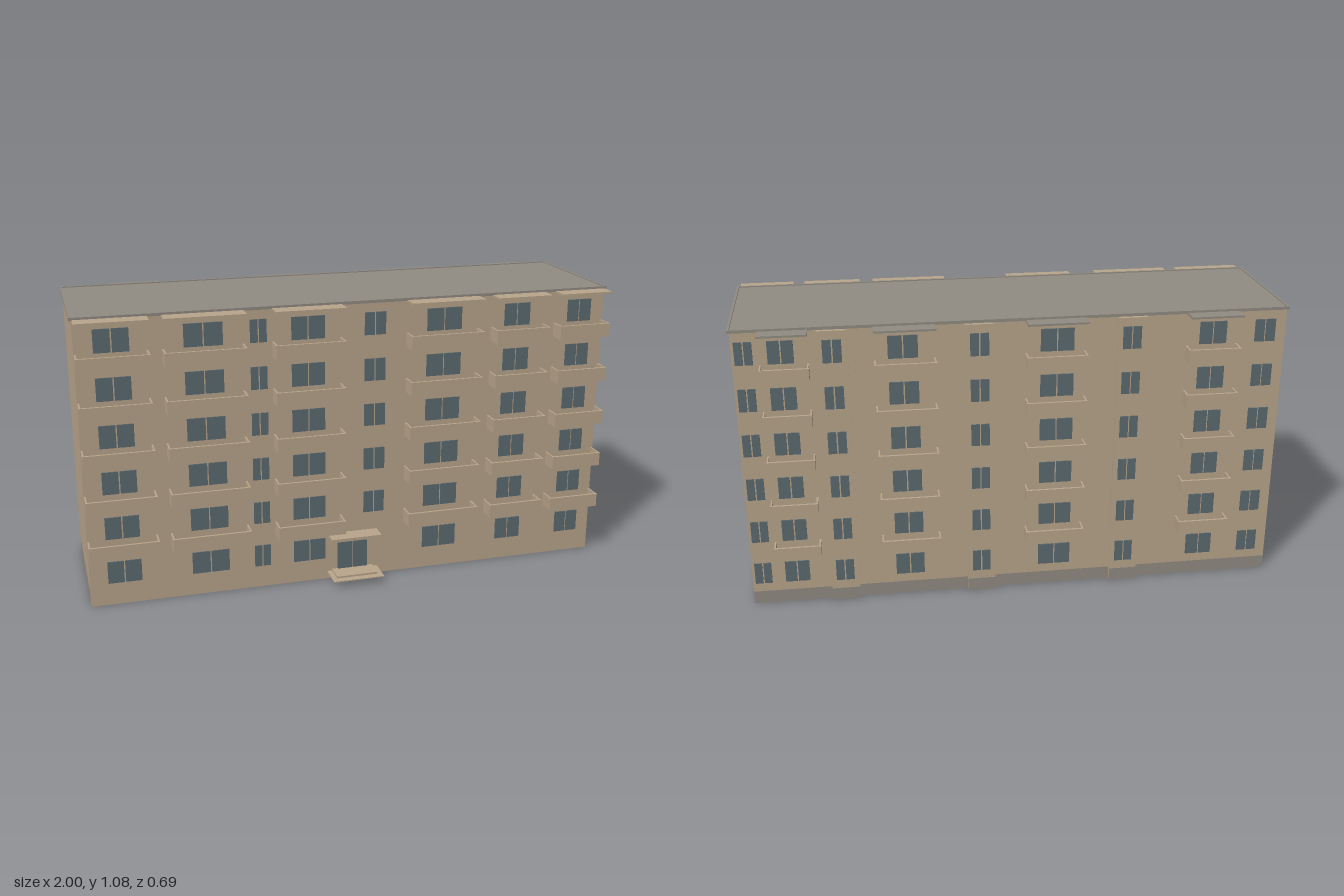
import * as THREE from 'three';

const mat = (name, color, side = THREE.FrontSide) => {
  const m = new THREE.MeshStandardMaterial({ color, side });
  m.name = name;
  return m;
};

export function createModel() {
  const plaster = mat('beige plaster', 0xbaa68c);
  const wallPlaster = plaster.clone();
  wallPlaster.side = THREE.DoubleSide;
  const grey = mat('grey concrete', 0x928d83, THREE.DoubleSide);
  const glass = mat('window glass', 0x5c6b70);

  const model = new THREE.Group();
  model.name = 'apartmentBlock';

  const FRONT = 0.25, BACK = -0.285, HALF = 0.992, TOP = 1.07;
  const FLOORS = 6, STEP = 0.173, PLINTH = 0.05;

  // Box given by its limits on each axis
  function box(parent, name, m, x0, x1, y0, y1, z0, z1) {
    const mesh = new THREE.Mesh(new THREE.BoxGeometry(x1 - x0, y1 - y0, z1 - z0), m);
    mesh.position.set((x0 + x1) / 2, (y0 + y1) / 2, (z0 + z1) / 2);
    mesh.name = name;
    parent.add(mesh);
    return mesh;
  }

  // Flat upright wall, seen from both sides
  function panel(name, m, width, y0, y1, x, z, turn) {
    const mesh = new THREE.Mesh(new THREE.PlaneGeometry(width, y1 - y0), m);
    mesh.position.set(x, (y0 + y1) / 2, z);
    mesh.rotation.y = turn;
    mesh.name = name;
    model.add(mesh);
  }

  // Hollow shell, open underneath; the plinth runs round the ends and back
  const midZ = (FRONT + BACK) / 2, depth = FRONT - BACK;
  panel('frontWall', wallPlaster, HALF * 2, 0, TOP, 0, FRONT, 0);
  panel('backWall', wallPlaster, HALF * 2, PLINTH, TOP, 0, BACK, Math.PI);
  panel('backPlinth', grey, HALF * 2, 0, PLINTH, 0, BACK, Math.PI);
  for (const s of [-1, 1]) {
    panel('endWall', wallPlaster, depth, PLINTH, TOP, s * HALF, midZ, s * Math.PI / 2);
    panel('endPlinth', grey, depth, 0, PLINTH, s * HALF, midZ, s * Math.PI / 2);
  }

  // Roof slab with a low rim
  const RZ0 = -0.291, RZ1 = 0.256;
  box(model, 'roof', grey, -1, 1, 1.069, 1.076, RZ0, RZ1);
  for (const s of [-1, 1]) {
    box(model, 'roofRimEnd', grey, s * 0.996 - 0.004, s * 0.996 + 0.004, 1.076, 1.08, RZ0, RZ1);
    const z = s > 0 ? RZ1 - 0.008 : RZ0;
    box(model, 'roofRimSide', grey, -0.992, 0.992, 1.076, 1.08, z, z + 0.008);
  }

  // Stair bays on the back
  const bays = [[-0.47, -0.365], [0.08, 0.185], [0.595, 0.7]];
  for (const [a, b] of bays) {
    box(model, 'stairBay', plaster, a, b, 0, 1.067, -0.3, BACK);
    box(model, 'stairBayPlinth', grey, a, b, 0, PLINTH, -0.302, -0.3);
  }

  // A window is a row of thin panes parted by narrow gaps
  function windowRow(x0, x1, y0, z, panes) {
    const g = new THREE.Group();
    g.name = 'window';
    const gap = 0.005, w = (x1 - x0 - gap * (panes - 1)) / panes;
    for (let i = 0; i < panes; i++) {
      const x = x0 + i * (w + gap);
      box(g, 'pane', glass, x, x + w, y0, y0 + 0.084, z - 0.0045, z + 0.0045);
    }
    model.add(g);
  }

  // Columns of windows: left edge, right edge, panes, first floor used
  const frontWindows = [
    [-0.925, -0.802, 2, 0], [-0.615, -0.477, 2, 0], [-0.38, -0.32, 2, 0], [-0.23, -0.107, 2, 0],
    [0.043, 0.123, 2, 1], [0.283, 0.417, 2, 0], [0.588, 0.69, 2, 0], [0.845, 0.94, 2, 0],
  ];
  const backWindows = [
    [-0.953, -0.877, 2], [-0.77, -0.67, 2], [-0.208, -0.087, 2],
    [0.35, 0.456, 2], [0.78, 0.87, 2], [0.92, 0.982, 2],
  ];
  for (let f = 0; f < FLOORS; f++) {
    const y = 0.086 + f * STEP;
    for (const [a, b, n, first] of frontWindows) if (f >= first) windowRow(a, b, y, FRONT, n);
    for (const [a, b, n] of backWindows) windowRow(a, b, y, BACK, n);
    for (const [a, b] of bays) windowRow(a + 0.02, b - 0.018, y, -0.3, 2);
  }

  // Balcony: floor, solid parapet on three sides and a thin cap; dir is the outward z
  function balcony(x0, x1, y0, wall, reach, dir) {
    const g = new THREE.Group();
    g.name = 'balcony';
    const t = 0.006, h = 0.052;
    const part = (name, a, b, c, d, near, far) => {
      const p = wall + dir * near, q = wall + dir * far;
      box(g, name, plaster, a, b, c, d, Math.min(p, q), Math.max(p, q));
    };
    part('balconyFloor', x0, x1, y0, y0 + 0.006, 0, reach);
    part('balconyFront', x0, x1, y0 + 0.006, y0 + h, reach - t, reach);
    part('balconySide', x0, x0 + t, y0 + 0.006, y0 + h, 0, reach - t);
    part('balconySide', x1 - t, x1, y0 + 0.006, y0 + h, 0, reach - t);
    part('balconyCap', x0 - 0.001, x1 + 0.001, y0 + h - 0.004, y0 + h, reach - t - 0.002, reach + 0.001);
    model.add(g);
  }

  const frontBalconies = [
    [-0.99, -0.738], [-0.69, -0.402], [-0.3, -0.044],
    [0.203, 0.483], [0.535, 0.748], [0.79, 0.99],
  ];
  const backBalconies = [[-0.812, -0.62], [-0.25, -0.032], [0.288, 0.505], [0.73, 0.9]];
  for (let f = 1; f < FLOORS; f++) {
    const y = 0.206 + (f - 1) * STEP;
    for (const [a, b] of frontBalconies) balcony(a, b, y, FRONT, 0.066, 1);
    for (const [a, b] of backBalconies) balcony(a, b, y - 0.003, BACK, 0.056, -1);
  }

  // Thin canopies over the top balconies
  for (const [a, b] of frontBalconies) box(model, 'frontCanopy', plaster, a, b, 1.065, 1.072, FRONT, 0.319);
  for (const [a, b] of backBalconies) box(model, 'backCanopy', grey, a, b, 1.065, 1.072, -0.346, BACK);

  // Entrance: double door, canopy and two shallow steps
  for (const s of [-1, 1]) {
    box(model, 'entranceDoor', glass, s * 0.03 - 0.028, s * 0.03 + 0.028, 0.037, 0.168, FRONT - 0.004, FRONT + 0.005);
  }
  box(model, 'entranceCanopy', plaster, -0.097, 0.097, 0.174, 0.186, FRONT, 0.315);
  box(model, 'entranceStep', plaster, -0.08, 0.08, 0.03, 0.037, FRONT, 0.323);
  box(model, 'entranceLanding', plaster, -0.099, 0.099, 0.026, 0.03, FRONT, 0.349);

  return model;
}
